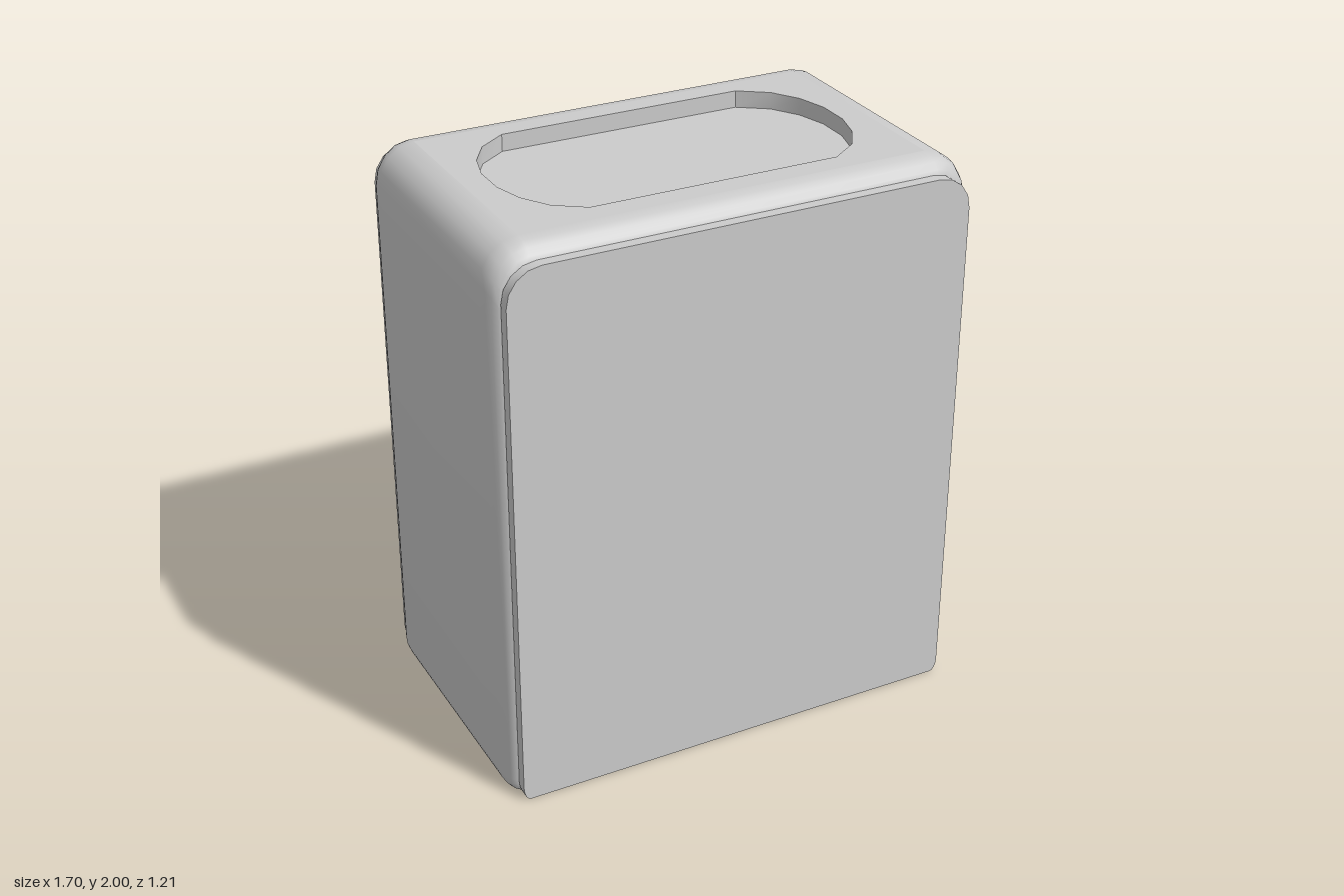
import * as THREE from 'three';
import { toCreasedNormals } from 'three/addons/utils/BufferGeometryUtils.js';

const grey = new THREE.MeshStandardMaterial({ color: 0xcccccc });
const greyBoth = new THREE.MeshStandardMaterial({ color: 0xcccccc, side: THREE.DoubleSide });

// Skin between closed rings of Vector3; skip(i, j) leaves a gap
function loft(rings, skip = () => false) {
  const pos = [];
  for (let i = 0; i < rings.length - 1; i++) {
    const n = rings[i].length;
    for (let j = 0; j < n; j++) {
      if (skip(i, j, n)) continue;
      const k = (j + 1) % n;
      const a = rings[i][j], b = rings[i][k], c = rings[i + 1][k], d = rings[i + 1][j];
      for (const p of [a, b, c, a, c, d]) pos.push(p.x, p.y, p.z);
    }
  }
  const g = new THREE.BufferGeometry();
  g.setAttribute('position', new THREE.Float32BufferAttribute(pos, 3));
  return toCreasedNormals(g, 0.6);
}

// Upright outline, counterclockwise from the top left, with wide round top corners and small bottom ones
function outline(x0, x1, y0, y1, rx, ry, rb) {
  const pts = [];
  const steps = 4;
  const arc = (cx, cy, ax, ay, from) => {
    for (let i = 0; i <= steps; i++) {
      const t = from + (i / steps) * Math.PI / 2;
      pts.push(new THREE.Vector2(cx + ax * Math.cos(t), cy + ay * Math.sin(t)));
    }
  };
  arc(x0 + rx, y1 - ry, rx, ry, Math.PI / 2);
  arc(x0 + rb, y0 + rb * 2, rb, rb * 2, Math.PI);
  arc(x1 - rb, y0 + rb * 2, rb, rb * 2, Math.PI * 1.5);
  arc(x1 - rx, y1 - ry, rx, ry, 0);
  return pts;
}

const lift = (pts, z) => pts.map(p => new THREE.Vector3(p.x, p.y, z));
const rect = (x0, x1, y0, y1) =>
  [[x0, y0], [x1, y0], [x1, y1], [x0, y1]].map(p => new THREE.Vector2(...p));

// Flat plate from an outline, with an optional hole
function plate(pts, z0, z1, hole) {
  const shape = new THREE.Shape(pts);
  if (hole) shape.holes.push(new THREE.Path(hole));
  const g = new THREE.ExtrudeGeometry(shape, { depth: z1 - z0, bevelEnabled: false });
  g.translate(0, 0, z0);
  return toCreasedNormals(g, 0.6);
}

export function createModel() {
  const model = new THREE.Group();
  const add = (name, geometry, material = grey) => {
    const mesh = new THREE.Mesh(geometry, material);
    mesh.name = name;
    model.add(mesh);
    return mesh;
  };

  // Main case: rounded towards both ends, top left open for the recessed lid
  const back = -0.45, front = 0.56, round = 0.09, flatX = 0.72;
  const ends = [0, 1, 2, 3, 4].map(i => {
    const t = (i / 4) * Math.PI / 2;
    return { dz: round * (1 - Math.cos(t)), inset: 1 - Math.sin(t) };
  });
  const section = (z, k) => {
    const w = 0.85 - 0.04 * k;
    return lift(outline(-w, w, 0.01 * k, 2 - 0.06 * k, w - flatX, 0.14, 0.025), z);
  };
  const rings = [
    ...ends.map(e => section(back + e.dz, e.inset)),
    ...ends.slice().reverse().map(e => section(front - e.dz, e.inset)),
  ];
  add('caseBody', loft(rings, (i, j, n) => i === ends.length - 1 && j === n - 1));

  // Top surface with a long round-ended recess
  const quarter = [[0.44, 0.335], [0.54, 0.265], [0.6, 0.17], [0.63, 0.06]];
  const corner = (sx, sz) => quarter.map(([x, z]) => new THREE.Vector2(sx * x, sz * z - 0.05));
  const recess = [
    ...corner(1, 1).reverse(), ...corner(-1, 1),
    ...corner(-1, -1).reverse(), ...corner(1, -1),
  ];
  const top = new THREE.Shape(rect(-flatX, flatX, -(front - round), -(back + round)));
  top.holes.push(new THREE.Path(recess));
  add('topSurface', new THREE.ShapeGeometry(top).rotateX(-Math.PI / 2).translate(0, 2, 0));
  const depth = 0.06;
  add('recessFloor', new THREE.ShapeGeometry(new THREE.Shape(recess)).rotateX(-Math.PI / 2).translate(0, 2 - depth, 0));
  const level = y => recess.map(p => new THREE.Vector3(p.x, y, -p.y));
  add('recessWall', loft([level(2), level(2 - depth)]), greyBoth);

  // Front and back plates
  const opening = rect(-0.06, 0.69, 0.16, 1.66);
  const plateOutline = outline(-0.82, 0.82, 0, 1.95, 0.12, 0.12, 0.025);
  add('frontPlate', plate(plateOutline, front, 0.6));
  add('backPlate', plate(plateOutline, -0.485, back, opening));

  // Raised frame on the back, its outer edge slightly tapered
  const frameAt = d => outline(-0.74 + d, 0.78 - d, 0.015 + d / 2, 1.84 - d, 0.1, 0.1, 0.02);
  add('frameEdge', loft([lift(frameAt(0.02), -0.512), lift(frameAt(0), -0.49), lift(frameAt(0), -0.484)]));
  const face = new THREE.Shape(frameAt(0.02));
  face.holes.push(new THREE.Path(opening));
  add('frameFace', new THREE.ShapeGeometry(face).translate(0, 0, -0.512), greyBoth);

  // Sloping window surround and its pane
  add('windowSurround', loft([
    lift(opening, -0.512),
    lift(rect(-0.03, 0.65, 0.2, 1.62), -0.497),
    lift(rect(-0.01, 0.625, 0.235, 1.585), -0.48),
    lift(rect(-0.01, 0.625, 0.235, 1.585), -0.455),
  ]), greyBoth);
  add('windowPane', new THREE.PlaneGeometry(0.635, 1.35).translate(0.3075, 0.91, -0.456), greyBoth);

  // Sliding door with a small rounded grip
  add('slidingDoor', new THREE.BoxGeometry(0.585, 1.75, 0.06)).position.set(-0.3675, 0.877, -0.545);
  const grip = add('doorGrip', new THREE.CylinderGeometry(1, 1, 0.016, 20).rotateZ(Math.PI / 2));
  grip.scale.set(1, 0.06, 0.03);
  grip.position.set(-0.605, 0.643, -0.575);

  return model;
}
